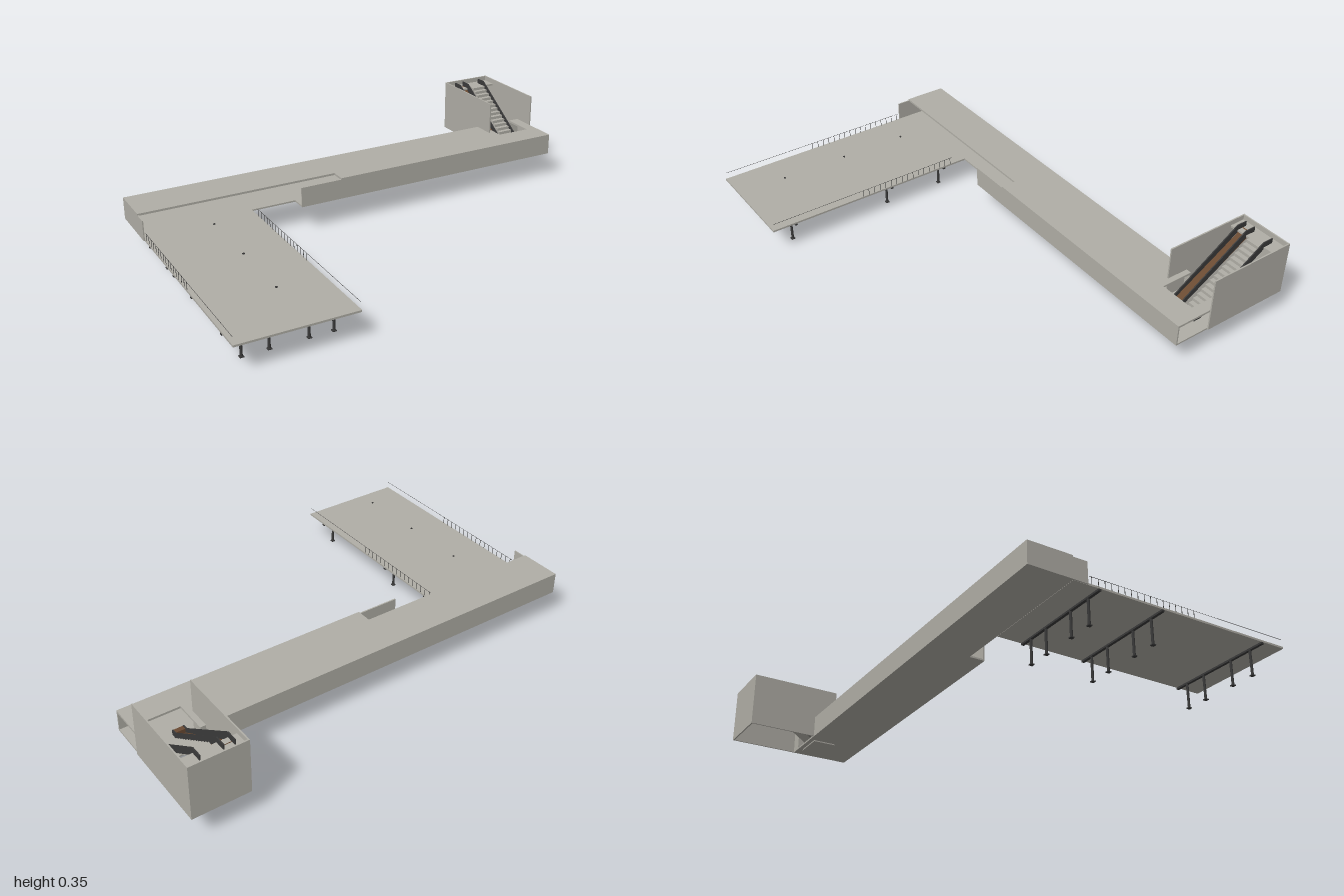
import * as THREE from 'three';

const mat = (name, color, side = THREE.FrontSide) => {
  const m = new THREE.MeshStandardMaterial({ color, side });
  m.name = name;
  return m;
};

export function createModel() {
  const model = new THREE.Group();
  const concrete = mat('concrete', 0xb0aea6);
  const shade = mat('stair side grey', 0x8a8882);
  const steel = mat('dark steel', 0x3a3a3a);
  const brown = mat('brown steps', 0x6a4a32);

  const group = (name) => {
    const g = new THREE.Group();
    g.name = name;
    model.add(g);
    return g;
  };
  // Box given by its limits on each axis
  const box = (parent, name, material, x0, x1, y0, y1, z0, z1) => {
    const mesh = new THREE.Mesh(new THREE.BoxGeometry(x1 - x0, y1 - y0, z1 - z0), material);
    mesh.position.set((x0 + x1) / 2, (y0 + y1) / 2, (z0 + z1) / 2);
    mesh.name = name;
    parent.add(mesh);
    return mesh;
  };
  // Side profile of [z, y] points, extruded from x0 to x1
  const profile = (parent, name, material, x0, x1, points) => {
    const shape = new THREE.Shape(points.map(([z, y]) => new THREE.Vector2(z, y)));
    const geo = new THREE.ExtrudeGeometry(shape, { depth: x1 - x0, bevelEnabled: false });
    geo.rotateY(-Math.PI / 2).translate(x1, 0, 0);
    const mesh = new THREE.Mesh(geo, material);
    mesh.name = name;
    parent.add(mesh);
  };
  // Horizontal plate from [x, z] points, between y0 and y1
  const plate = (parent, name, material, y0, y1, points) => {
    const shape = new THREE.Shape(points.map(([x, z]) => new THREE.Vector2(x, -z)));
    const geo = new THREE.ExtrudeGeometry(shape, { depth: y1 - y0, bevelEnabled: false });
    geo.rotateX(-Math.PI / 2).translate(0, y0, 0);
    const mesh = new THREE.Mesh(geo, material);
    mesh.name = name;
    parent.add(mesh);
  };

  // Long corridor, open at its left end and towards the deck
  const corridor = group('corridor');
  plate(corridor, 'corridorFloor', concrete, 0.115, 0.122, [
    [-1, -0.44], [0.99, -0.44], [0.99, -0.183], [-0.31, -0.183], [-0.31, -0.25], [-1, -0.25],
  ]);
  plate(corridor, 'corridorRoof', concrete, 0.201, 0.21, [
    [-1, -0.44], [0.785, -0.44], [0.785, -0.295], [0.94, -0.295], [0.94, -0.44],
    [0.99, -0.44], [0.99, -0.188], [-0.12, -0.188], [-0.12, -0.25], [-1, -0.25],
  ]);
  box(corridor, 'frontWall', concrete, -0.31, 0.99, 0.115, 0.204, -0.188, -0.182);
  box(corridor, 'frontFascia', concrete, -0.12, 0.99, 0.204, 0.21, -0.188, -0.182);
  box(corridor, 'backWall', concrete, -1, 0.785, 0.122, 0.201, -0.44, -0.434);
  box(corridor, 'backWallEnd', concrete, 0.94, 0.99, 0.122, 0.201, -0.44, -0.434);
  box(corridor, 'endWall', concrete, -1, -0.995, 0.115, 0.204, -0.434, -0.19);
  box(corridor, 'escalatorPit', concrete, 0.795, 0.93, 0.11, 0.115, -0.42, -0.32);

  // Deck on three rows of posts
  const deck = group('deck');
  box(deck, 'deckSlab', concrete, -0.995, -0.512, 0.114, 0.122, -0.25, 0.733);
  for (const z of [0.625, 0.143, -0.138]) {
    box(deck, 'crossBeam', steel, -0.995, -0.512, 0.106, 0.114, z - 0.006, z + 0.006);
    for (const x of [-0.927, -0.822, -0.668, -0.57]) {
      const post = new THREE.Mesh(new THREE.CylinderGeometry(0.0055, 0.0055, 0.108, 12), steel);
      post.position.set(x, 0.054, z);
      post.name = 'post';
      deck.add(post);
      box(deck, 'postBase', steel, x - 0.008, x + 0.008, 0, 0.004, z - 0.008, z + 0.008);
    }
  }

  // Slim railings along both long edges
  const railings = group('railings');
  for (const x of [-0.993, -0.514]) {
    box(railings, 'topRail', steel, x - 0.0005, x + 0.0005, 0.152, 0.153, -0.18, 0.73);
    for (let i = 0; i < 17; i++) {
      const z = -0.17 + i * 0.0288;
      box(railings, 'railingPost', steel, x - 0.0008, x + 0.0008, 0.122, 0.152, z - 0.0008, z + 0.0008);
    }
  }

  // Small lamps
  const lamps = group('lamps');
  const lampSpots = [[-0.753, -0.05], [-0.753, 0.25], [-0.753, 0.55], [-0.83, -0.31], [-0.56, -0.31]];
  for (const [x, z] of lampSpots) {
    box(lamps, 'lamp', steel, x - 0.004, x + 0.004, 0.189, 0.193, z - 0.003, z + 0.003);
  }

  // Stair tower: three walls and an upper landing, open below
  const tower = group('stairTower');
  for (const [x0, x1] of [[0.755, 0.761], [0.99, 0.996]]) {
    box(tower, 'sideWall', concrete, x0, x1, 0.117, 0.353, -0.737, -0.342);
  }
  box(tower, 'towerBackWall', concrete, 0.761, 0.99, 0.117, 0.353, -0.737, -0.731);
  box(tower, 'landing', concrete, 0.761, 0.99, 0.322, 0.331, -0.731, -0.662);

  // Sloping escalator and the fixed stair beside it
  const stairs = group('stairs');
  const slope = (z0, y0, z1, y1, thick) => [
    [z0, y0], [z0, y0 - thick], [z1, y1 - thick], [z1, y1],
  ].reverse();
  profile(stairs, 'escalatorSteps', brown, 0.797, 0.84, slope(-0.345, 0.125, -0.69, 0.333, 0.012));
  profile(stairs, 'stairSide', shade, 0.843, 0.862, slope(-0.35, 0.124, -0.69, 0.331, 0.012));
  const count = 16;
  const steps = [[-0.345, 0.122]];
  for (let i = 0; i < count; i++) {
    const y = 0.122 + ((i + 1) * 0.209) / count;
    steps.push([-0.345 - (i * 0.32) / count, y], [-0.345 - ((i + 1) * 0.32) / count, y]);
  }
  steps.push([-0.665, 0.315], [-0.365, 0.118]);
  profile(stairs, 'stairFlight', concrete, 0.862, 0.93, steps.reverse());

  // Balustrades with level ends
  for (const x of [0.795, 0.84, 0.932]) {
    profile(stairs, 'balustrade', steel, x - 0.0025, x + 0.0025, [
      [-0.325, 0.122], [-0.325, 0.145], [-0.35, 0.147], [-0.66, 0.353],
      [-0.708, 0.353], [-0.708, 0.331], [-0.67, 0.325], [-0.36, 0.122],
    ]);
  }
  box(stairs, 'escalatorFoot', brown, 0.798, 0.838, 0.122, 0.143, -0.345, -0.325);
  return model;
}
